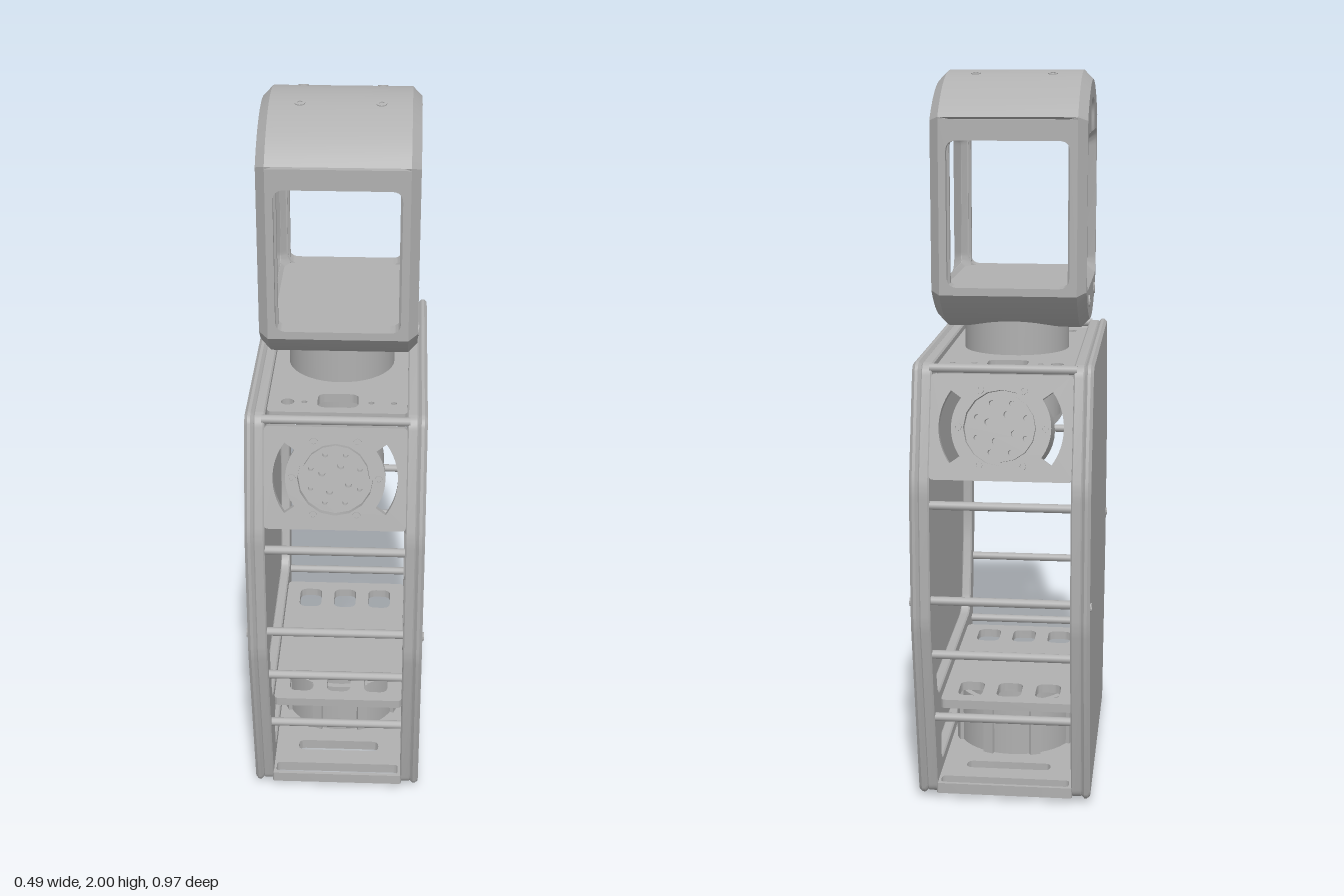
import * as THREE from 'three';
import { toCreasedNormals } from 'three/addons/utils/BufferGeometryUtils.js';

const grey = new THREE.MeshStandardMaterial({ color: 0xb0b0b0 });
grey.name = 'satin grey';

// Polygon path whose corners are rounded by radius r
function rounded(pts, r, PathType = THREE.Path) {
  const p = new PathType();
  const v = pts.map(([x, y]) => new THREE.Vector2(x, y));
  v.forEach((c, i) => {
    const toward = (o) => c.clone().add(o.clone().sub(c).setLength(r));
    const a = toward(v[(i + v.length - 1) % v.length]);
    const b = toward(v[(i + 1) % v.length]);
    if (i === 0) p.moveTo(a.x, a.y); else p.lineTo(a.x, a.y);
    p.quadraticCurveTo(c.x, c.y, b.x, b.y);
  });
  p.closePath();
  return p;
}
const rect = (x0, y0, x1, y1, r, T) => rounded([[x0, y0], [x1, y0], [x1, y1], [x0, y1]], r, T);
const circle = (x, y, r) => new THREE.Path().absarc(x, y, r, 0, Math.PI * 2, false);

// Plate centred on local z = 0, total thickness t, optional chamfer
function plate(shape, holes, t, bevel = 0) {
  shape.holes.push(...holes);
  const depth = t - 2 * bevel;
  const g = new THREE.ExtrudeGeometry(shape, {
    depth, bevelEnabled: bevel > 0, bevelSize: bevel, bevelThickness: bevel,
    bevelOffset: -bevel, bevelSegments: 1, curveSegments: 8,
  });
  g.translate(0, 0, -depth / 2);
  return toCreasedNormals(g, 0.5);
}
const sideways = (g) => g.rotateY(-Math.PI / 2);
const flat = (g) => g.rotateX(-Math.PI / 2);

function add(parent, name, geometry, x = 0, y = 0, z = 0) {
  const m = new THREE.Mesh(geometry, grey);
  m.name = name;
  m.position.set(x, y, z);
  parent.add(m);
  return m;
}
const cyl = (r, h, n = 40) => new THREE.CylinderGeometry(r, r, h, n);
const box = (x, y, z) => new THREE.BoxGeometry(x, y, z);

// Socket-head screw with its axis along z
function screw(parent, x, y, z, r = 0.012) {
  const g = new THREE.LatheGeometry([[0, -0.004], [r * 0.5, -0.004], [r * 0.5, 0.004], [r, 0.004], [r, -0.006]]
    .map(([a, b]) => new THREE.Vector2(a, b)).reverse(), 12);
  return add(parent, 'screw', toCreasedNormals(g.rotateX(Math.PI / 2), 0.6), x, y, z);
}

// Body outline in (z, y)
const outline = (d = 0) => [[-0.38 + d, 0.01 + d], [0.38 - d, 0.01 + d], [0.487 - d, 0.55], [0.487 - d, 0.93],
  [0.4 - d, 1.25 - d], [-0.4 + d, 1.25 - d], [-0.487 + d, 0.93], [-0.487 + d, 0.55]];

function buildSide(s) {
  const side = new THREE.Group();
  side.name = s > 0 ? 'leftSide' : 'rightSide';
  add(side, 'coverPanel', sideways(plate(rounded(outline(), 0.03, THREE.Shape), [], 0.024, 0.008)), s * 0.228);
  // Inner frame with large rounded openings
  const holes = [
    rounded([[-0.36, 0.3], [0.36, 0.3], [0.42, 0.56], [0.42, 0.9], [-0.42, 0.9], [-0.42, 0.56]], 0.05),
    rect(-0.3, 0.08, 0.3, 0.21, 0.04),
  ];
  add(side, 'innerFrame', sideways(plate(rounded(outline(0.004), 0.03, THREE.Shape), holes, 0.03, 0.004)), s * 0.202);
  for (const z of [-0.465, 0.465]) screw(side, s * 0.24, 0.61, z).rotation.y = s * Math.PI / 2;
  return side;
}

// Tilted end plate carrying a round drive unit
function buildEndDrive() {
  const g = new THREE.Group();
  g.name = 'endDrive';
  const tilt = new THREE.Group();
  tilt.name = 'tiltedDrive';
  tilt.position.set(0, 1.085, 0.428);
  tilt.rotation.x = -0.26;
  const slot = (side) => {
    const p = new THREE.Path();
    const c = side > 0 ? 0 : Math.PI;
    p.absarc(0, 0, 0.165, c - 0.62, c + 0.62, false);
    p.absarc(0, 0, 0.132, c + 0.62, c - 0.62, true);
    p.closePath();
    return p;
  };
  add(tilt, 'endPlate', plate(rect(-0.188, -0.14, 0.188, 0.14, 0.012, THREE.Shape),
    [slot(1), slot(-1), circle(0, 0, 0.1)], 0.025));
  const bolts = [];
  for (let i = 0; i < 8; i++) {
    const a = (i + 0.5) * Math.PI / 4;
    bolts.push(circle(0.07 * Math.cos(a), 0.07 * Math.sin(a), 0.007));
    if (i % 2) bolts.push(circle(0.038 * Math.cos(a), 0.038 * Math.sin(a), 0.009));
  }
  add(tilt, 'driveHub', plate(new THREE.Shape().absarc(0, 0, 0.09, 0, Math.PI * 2), bolts, 0.02));
  add(tilt, 'driveMotor', cyl(0.125, 0.21).rotateX(Math.PI / 2), 0, 0, -0.118);
  for (let i = 0; i < 6; i++) {
    const a = i * Math.PI / 3;
    screw(tilt, 0.115 * Math.cos(a), 0.115 * Math.sin(a), 0.014, 0.011);
  }
  g.add(tilt);
  // Cross rods joining the two side frames
  for (const [y, z] of [[0.88, 0.465], [0.615, 0.465], [0.455, 0.445], [0.257, 0.405], [1.235, 0.388]])
    add(g, 'crossRod', cyl(0.012, 0.39, 12).rotateZ(Math.PI / 2), 0, y, z);
  return g;
}

function buildHead() {
  const head = new THREE.Group();
  head.name = 'head';
  const R = 0.355, cy = 1.645, w = 0.265;
  // Arc points of radius r between z = -h and z = h, top (1) or bottom (-1)
  const arc = (r, h, s) => Array.from({ length: 25 }, (_, i) => {
    const a = Math.asin(h / r) * (1 - i / 12);
    return new THREE.Vector2(s * r * Math.sin(a), cy + s * r * Math.cos(a));
  });
  for (const s of [1, -1]) {
    // One side window has a cable notch in its upper edge
    const window = s > 0 ? rect(-0.2, 1.44, 0.2, 1.81, 0.03)
      : rounded([[-0.2, 1.44], [0.2, 1.44], [0.2, 1.81], [0.06, 1.81], [0.06, 1.9], [-0.06, 1.9], [-0.06, 1.81], [-0.2, 1.81]], 0.028);
    const profile = new THREE.Shape([...arc(R, w, 1), ...arc(R, w, -1)]);
    add(head, 'sideCheek', sideways(plate(profile, [window], 0.051, 0.025)), s * 0.1845);
    for (const z of [-0.13, 0.13]) screw(head, s * 0.21, 1.38, z, 0.016).rotation.y = s * Math.PI / 2;
    // Front and back window frames
    add(head, 'windowFrame', plate(rect(-0.185, 1.42, 0.185, 1.875, 0.002, THREE.Shape),
      [rect(-0.165, 1.43, 0.165, 1.82, 0.03)], 0.05), 0, 0, s * 0.24);
  }
  const roof = new THREE.Shape([...arc(R, w, 1), ...arc(0.315, 0.22, 1).reverse()]);
  add(head, 'roof', sideways(plate(roof, [], 0.37)));
  const base = new THREE.Shape([new THREE.Vector2(w, 1.43), new THREE.Vector2(-w, 1.43), ...arc(R, w, -1)]);
  add(head, 'floor', sideways(plate(base, [], 0.37)));
  for (const x of [-0.105, 0.105]) for (const s of [-1, 1]) {
    const z = s * 0.08;
    screw(head, x, cy + Math.sqrt(R * R - z * z) - 0.002, z, 0.014).rotation.x = -Math.PI / 2 + s * 0.227;
  }
  add(head, 'neck', cyl(0.148, 0.13), 0, 1.285, 0);
  return head;
}

function buildDecks(root) {
  // Top deck with slots and bolt holes
  const holes = [];
  for (const s of [-1, 1]) {
    holes.push(rect(-0.055, s * 0.26 - 0.04, 0.055, s * 0.26 + 0.04, 0.025));
    holes.push(circle(-0.135, s * 0.27, 0.018));
    for (const x of [-0.09, 0.09, 0.15]) holes.push(circle(x, s * 0.27, 0.008));
  }
  add(root, 'topDeck', flat(plate(rect(-0.187, -0.33, 0.187, 0.33, 0.015, THREE.Shape), holes, 0.025)), 0, 1.215, 0);
  add(root, 'neckMotor', cyl(0.125, 0.17), 0, 1.12, 0);

  // Slotted shelf above the lower motor
  const shelfHoles = [];
  for (const s of [-1, 1]) for (const x of [-0.11, 0, 0.11])
    shelfHoles.push(rect(x - 0.035, s * 0.22 - 0.05, x + 0.035, s * 0.22 + 0.05, 0.025));
  add(root, 'lowerShelf', flat(plate(rect(-0.187, -0.31, 0.187, 0.31, 0.015, THREE.Shape), shelfHoles, 0.025)), 0, 0.255, 0);

  // Bottom plate with end slots
  const ends = [circle(0, 0, 0.13)];
  for (const s of [-1, 1]) {
    ends.push(rect(-0.18, s * 0.353 - 0.02, 0.18, s * 0.353 + 0.02, 0.012));
    ends.push(rect(-0.12, s * 0.25 - 0.022, 0.12, s * 0.25 + 0.022, 0.02));
  }
  add(root, 'bottomPlate', flat(plate(rect(-0.19, -0.383, 0.19, 0.383, 0.008, THREE.Shape), ends, 0.03)), 0, 0.033, 0);
  add(root, 'bottomTab', box(0.1, 0.02, 0.04), 0, 0.01, 0.16);

  // Lower motor with ribs and a ringed output hub underneath
  const motor = new THREE.Group();
  motor.name = 'lowerMotor';
  add(motor, 'motorBody', cyl(0.172, 0.16, 48), 0, 0.128, 0);
  add(motor, 'motorCap', cyl(0.155, 0.035, 48), 0, 0.225, 0);
  for (let i = 0; i < 8; i++) {
    const a = (i + 0.5) * Math.PI / 4;
    add(motor, 'motorRib', box(0.03, 0.165, 0.02), 0.172 * Math.sin(a), 0.13, 0.172 * Math.cos(a)).rotation.y = a;
    screw(motor, 0.15 * Math.sin(a), 0.016, 0.15 * Math.cos(a), 0.011).rotation.x = Math.PI / 2;
  }
  for (const [r, hole] of [[0.115, 0.095], [0.085, 0.05], [0.04, 0.02]])
    add(motor, 'hubRing', flat(plate(new THREE.Shape().absarc(0, 0, r, 0, Math.PI * 2), [circle(0, 0, hole)], 0.04)), 0, 0.033, 0);
  root.add(motor);
}

export function createModel() {
  const root = new THREE.Group();
  root.name = 'robotTorso';
  root.add(buildSide(1), buildSide(-1));
  const front = buildEndDrive(), back = buildEndDrive();
  back.rotation.y = Math.PI;
  root.add(front, back, buildHead());
  buildDecks(root);
  return root;
}
